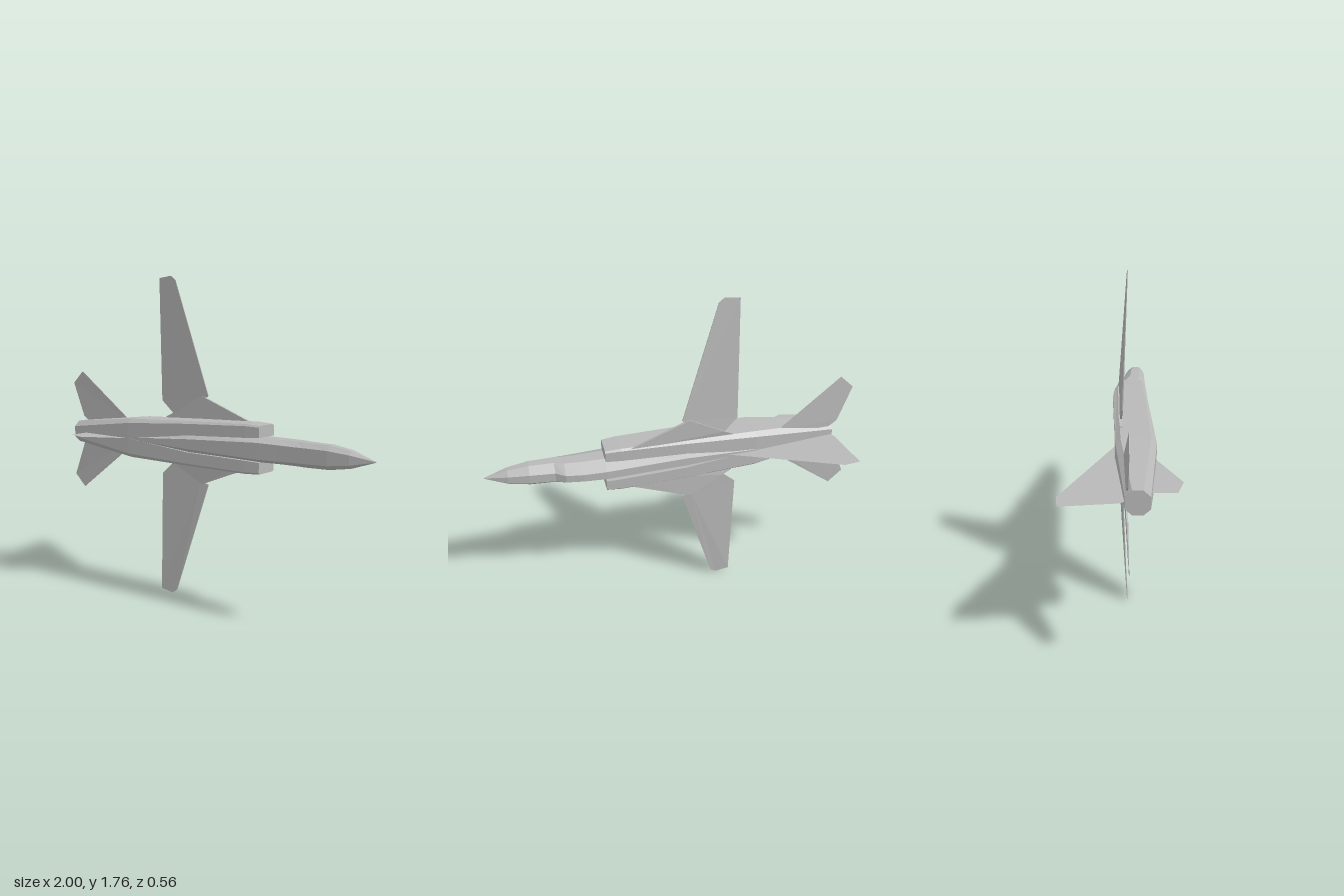
import * as THREE from 'three';

// Skin a closed solid through rings of [x, y, z] points.
function loft(rings) {
  const pos = [];
  const tri = (a, b, c) => pos.push(...a, ...b, ...c);
  const n = rings[0].length;
  for (let r = 0; r < rings.length - 1; r++) {
    const a = rings[r], b = rings[r + 1];
    for (let i = 0; i < n; i++) {
      const j = (i + 1) % n;
      tri(a[i], a[j], b[j]);
      tri(a[i], b[j], b[i]);
    }
  }
  const back = rings[0], front = rings[rings.length - 1];
  for (let i = 1; i < n - 1; i++) {
    tri(back[0], back[i + 1], back[i]);
    tri(front[0], front[i], front[i + 1]);
  }
  const g = new THREE.BufferGeometry();
  g.setAttribute('position', new THREE.Float32BufferAttribute(pos, 3));
  g.computeVertexNormals();
  return g;
}

// Mirror rings across the centre plane, keeping faces outward.
const mirror = (rings, s) => s > 0 ? rings
  : rings.map(r => r.map(([x, y, z]) => [x, -y, z]).reverse());

// Thin slab from outline points [x, y, z, halfThickness].
const slab = outline => [-1, 1].map(d => outline.map(([x, y, z, t]) => [x, y, z + d * t]));

export function createModel() {
  const model = new THREE.Group();
  const jet = new THREE.Group();
  jet.name = 'aircraft';
  jet.position.y = 0.882;
  model.add(jet);

  const grey = new THREE.MeshStandardMaterial({ color: 0xb8b8b8, flatShading: true, side: THREE.DoubleSide });
  grey.name = 'airframe grey';
  const add = (name, geometry) => {
    const mesh = new THREE.Mesh(geometry, grey);
    mesh.name = name;
    jet.add(mesh);
  };

  // Forward fuselage with canopy and spine: x, half width, top, bottom, flat top, flat bottom
  const sections = [
    [-0.44, 0.012, -0.043, 0.157, 0.006, 0.004],
    [-0.05, 0.06, -0.058, 0.138, 0.022, 0.026],
    [0.38, 0.062, -0.08, 0.113, 0.022, 0.042],
    [0.5, 0.06, -0.075, 0.106, 0.02, 0.04],
    [0.59, 0.06, -0.062, 0.102, 0.02, 0.038],
    [0.64, 0.06, -0.032, 0.1, 0.024, 0.038],
    [0.77, 0.058, -0.02, 0.095, 0.024, 0.036],
    [0.88, 0.041, 0, 0.081, 0.018, 0.024],
    [1, 0.002, 0.046, 0.05, 0.001, 0.001],
  ];
  add('forwardFuselage', loft(sections.map(([x, w, t, b, ft, fb]) => {
    const z1 = t + 0.35 * (b - t), z2 = t + 0.75 * (b - t);
    return [[x, w, z1], [x, w, z2], [x, fb, b], [x, -fb, b],
      [x, -w, z2], [x, -w, z1], [x, -ft, t], [x, ft, t]];
  })));

  // Engine ducts: x, inner y, outer y, top, bottom, chamfer y, chamfer z
  const ducts = [
    [-0.9, 0, 0.06, 0.015, 0.13, 0.03, 0.033],
    [-0.44, 0, 0.107, -0.04, 0.16, 0.022, 0.025],
    [-0.05, 0.045, 0.119, -0.047, 0.128, 0.013, 0.016],
    [0.3, 0.058, 0.127, -0.05, 0.095, 0.01, 0.01],
    [0.38, 0.062, 0.122, -0.046, 0.085, 0.008, 0.008],
  ].map(([x, i, o, t, b, cy, cz]) => [
    [x, o, t + cz], [x, o, b - cz], [x, o - cy, b], [x, i, b], [x, i, t], [x, o - cy, t]]);

  // Wing parts: x, y, z, half thickness
  const glove = slab([
    [0.27, 0.11, -0.04, 0.006], [-0.07, 0.24, -0.03, 0.007], [-0.26, 0.14, -0.02, 0.008],
    [-0.31, 0.115, -0.015, 0.006], [-0.31, 0.06, -0.015, 0.006], [0.27, 0.06, -0.04, 0.006]]);
  const wing = slab([
    [-0.03, 0.24, -0.032, 0.003], [-0.22, 0.855, 0.012, 0.002], [-0.25, 0.878, 0.015, 0.001],
    [-0.33, 0.868, 0.016, 0.001], [-0.335, 0.205, -0.008, 0.003], [-0.26, 0.135, -0.018, 0.005],
    [-0.08, 0.225, -0.03, 0.006]]);
  const tailplane = slab([
    [-0.58, 0.08, 0.006, 0.003], [-0.925, 0.346, 0.036, 0.001], [-1, 0.276, 0.037, 0.001],
    [-0.925, 0.082, 0.028, 0.004], [-0.88, 0.05, 0.025, 0.004], [-0.58, 0.05, 0.004, 0.004]]);

  for (const [s, side] of [[1, 'upper'], [-1, 'lower']]) {
    add(side + 'EngineDuct', loft(mirror(ducts, s)));
    add(side + 'WingGlove', loft(mirror(glove, s)));
    add(side + 'SwingWing', loft(mirror(wing, s)));
    add(side + 'Tailplane', loft(mirror(tailplane, s)));
  }

  // Centre-line fins, drawn in x and z
  const fin = (name, pts) => {
    const shape = new THREE.Shape(pts.map(p => new THREE.Vector2(...p)));
    add(name, new THREE.ShapeGeometry(shape).rotateX(Math.PI / 2));
  };
  fin('dorsalFin', [[-0.27, -0.04], [-0.85, -0.285], [-0.94, -0.275], [-0.905, -0.01], [-0.88, 0.03], [-0.4, 0]]);
  fin('ventralFin', [[-0.44, 0.155], [-0.69, 0.28], [-0.8, 0.25], [-0.8, 0.12], [-0.5, 0.12]]);

  return model;
}
